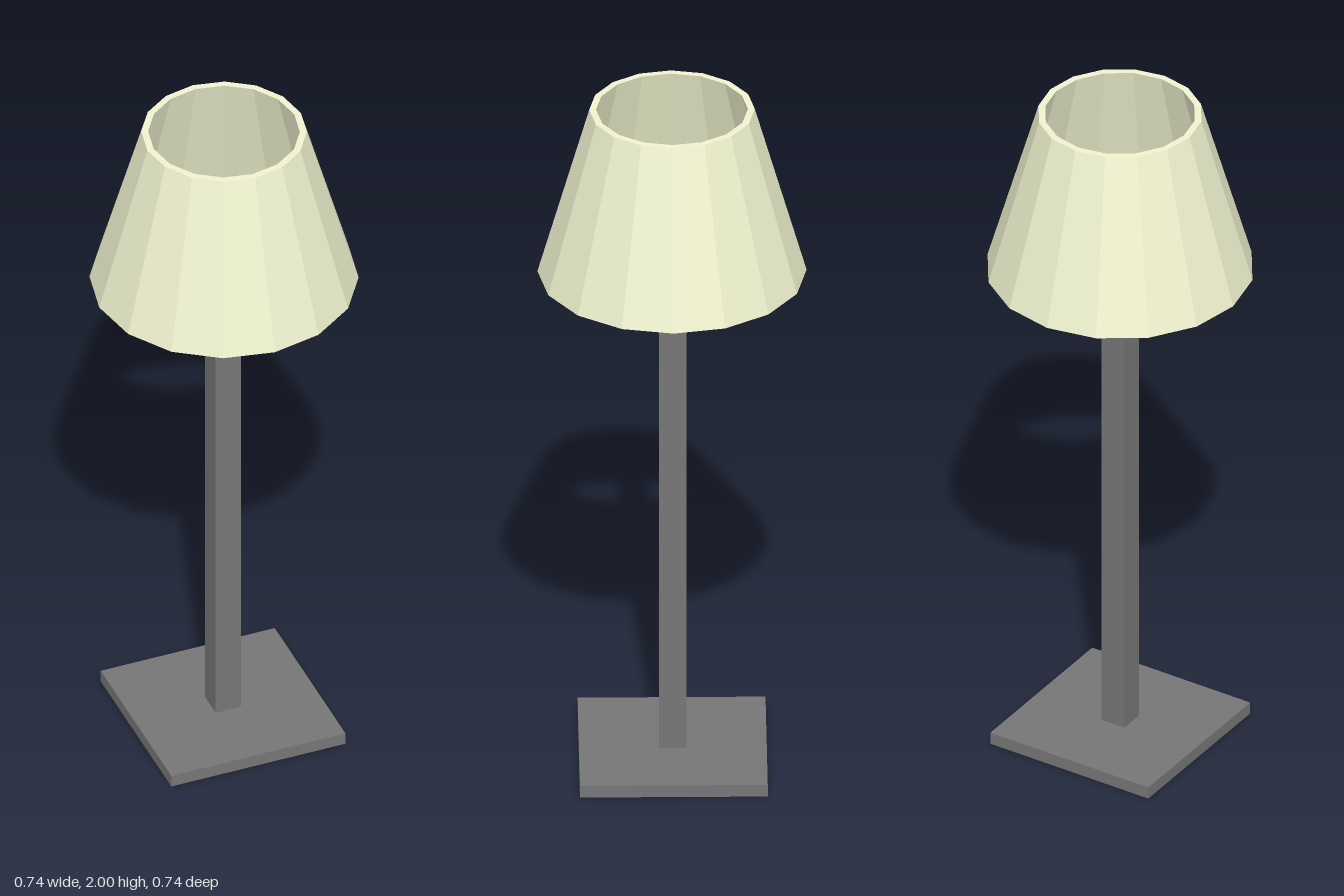
import * as THREE from 'three';

export function createModel() {
  const lamp = new THREE.Group();
  lamp.name = 'tableLamp';

  const metal = new THREE.MeshStandardMaterial({ color: 0x767676, flatShading: true });
  const fabric = new THREE.MeshStandardMaterial({ color: 0xf0f3cf, flatShading: true });

  // Box standing on height y; the stand sits a hair off centre
  const offset = -0.002;
  const addBox = (name, w, h, d, y) => {
    const mesh = new THREE.Mesh(new THREE.BoxGeometry(w, h, d), metal);
    mesh.name = name;
    mesh.position.set(offset, y + h / 2, offset);
    lamp.add(mesh);
  };

  const baseHeight = 0.036;
  const barBottom = 1.525;
  const barHeight = 0.036;

  addBox('base', 0.515, baseHeight, 0.515, 0);
  addBox('post', 0.075, barBottom - baseHeight, 0.075, baseHeight);
  // Crossbar whose ends sink into the wall of the shade
  addBox('shadeCrossbar', 0.68, barHeight, 0.075, barBottom);

  // Sixteen-sided tapered shade, open at both ends, with a thick wall
  const profile = [
    [0.369, 1.5], [0.227, 2], [0.208, 2], [0.338, 1.5], [0.369, 1.5],
  ].map(([r, y]) => new THREE.Vector2(r, y));
  const shade = new THREE.Mesh(new THREE.LatheGeometry(profile, 16), fabric);
  shade.name = 'shade';
  lamp.add(shade);

  return lamp;
}
